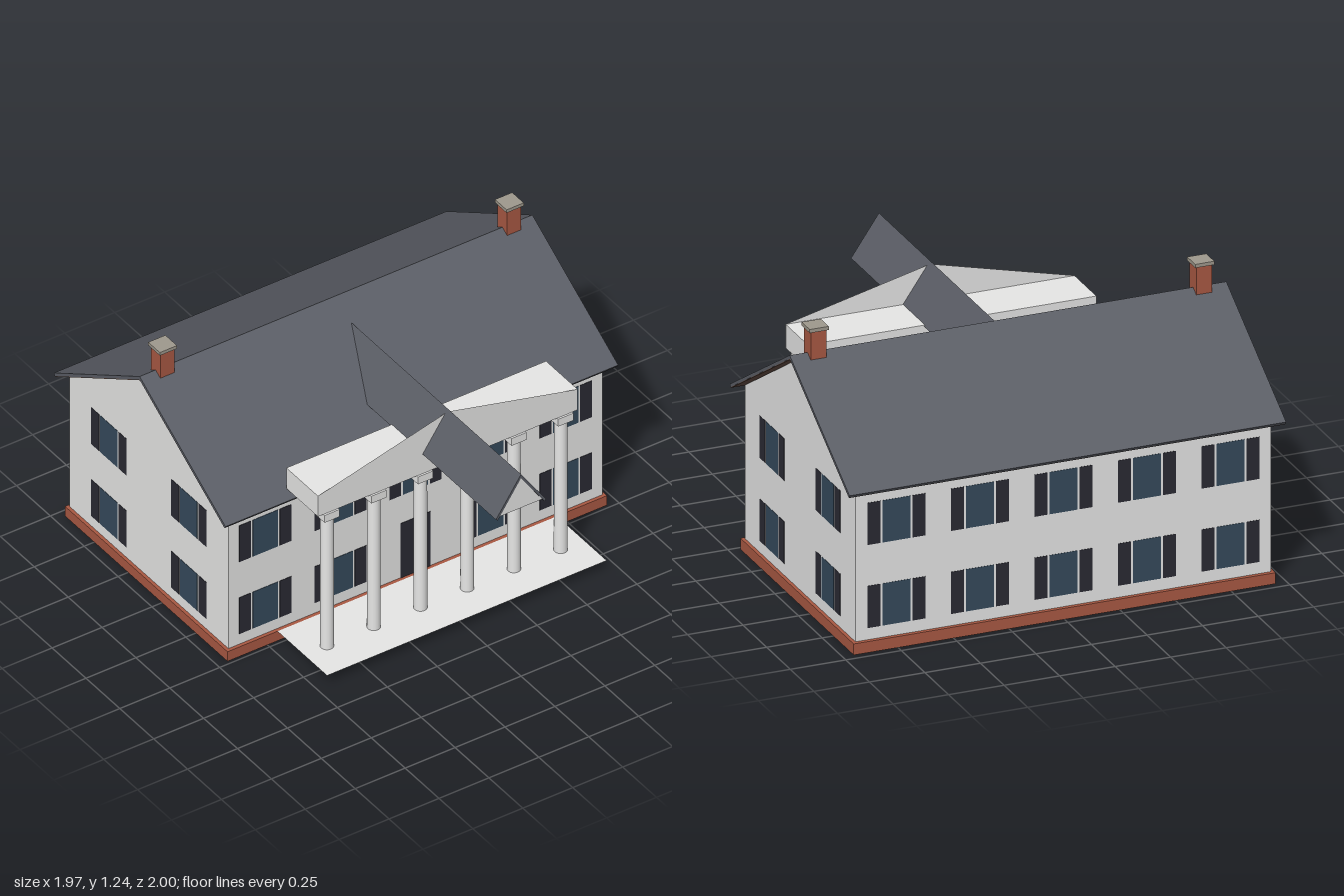
import * as THREE from 'three';

const mat = (name, color, side = THREE.FrontSide) =>
  Object.assign(new THREE.MeshStandardMaterial({ color, side }), { name });

export function createModel() {
  const white = mat('white paint', 0xe8e8e7, THREE.DoubleSide);
  const roofing = mat('slate roof', 0x5a5d65);
  const soffitBrown = mat('brown soffit', 0x6b5248);
  const brick = mat('red brick', 0xa95943, THREE.DoubleSide);
  const stone = mat('stone', 0x9f998d, THREE.DoubleSide);
  const glass = mat('window glass', 0x354a5c);
  const shutterPaint = mat('dark shutter paint', 0x2a2a33);

  const model = new THREE.Group();
  model.name = 'house';
  const CZ = -0.366; // middle of the main house in z

  const add = (name, geo, material, x = 0, y = 0, z = 0, parent = model) => {
    const m = new THREE.Mesh(geo, material);
    m.name = name;
    m.position.set(x, y, z);
    parent.add(m);
    return m;
  };
  const box = (name, material, w, h, d, x, y, z, parent) =>
    add(name, new THREE.BoxGeometry(w, h, d), material, x, y, z, parent);
  // Hollow box without its bottom face
  const openBox = (name, material, w, h, d, x, y, z) => {
    const geo = new THREE.BoxGeometry(w, h, d);
    geo.setIndex([...geo.index.array].filter((v, i) => i < 18 || i >= 24));
    geo.clearGroups();
    return add(name, geo, material, x, y, z);
  };
  const outline = points => new THREE.Shape(points.map(([x, y]) => new THREE.Vector2(x, y)));
  // Prism with an x-y outline, extruded along z about its middle
  const prism = (name, material, points, length) => {
    const geo = new THREE.ExtrudeGeometry(outline(points), { depth: length, bevelEnabled: false });
    return add(name, geo.translate(0, 0, -length / 2), material);
  };
  // Outline of a gabled end: base, eaves and peak
  const gableEnd = (w, base, eave, peak) => [[-w, base], [w, base], [w, eave], [0, peak], [-w, eave]];
  // Outline of a thin folded sheet: outer eave and peak, inner eave and peak
  const fold = (w, eave, peak, wIn, eaveIn, peakIn) =>
    [[0, peak], [-w, eave], [-wIn, eaveIn], [0, peakIn], [wIn, eaveIn], [w, eave]];

  // Foundation and front step, hollow underneath
  openBox('foundation', brick, 1.9, 0.05, 1.2, 0, 0.025, CZ);
  openBox('frontStep', stone, 0.234, 0.049, 0.057, 0, 0.0245, 0.2635);

  // Main walls with gable ends, the main roof and its underside
  const mainParts = [
    prism('walls', white, gableEnd(0.586, 0.052, 0.744, 1.099), 1.872),
    prism('mainRoof', roofing, fold(0.634, 0.738, 1.12, 0.627, 0.726, 1.104), 1.966),
    prism('roofSoffit', soffitBrown, fold(0.627, 0.726, 1.104, 0.625, 0.724, 1.1), 1.964),
  ];
  for (const m of mainParts) {
    m.rotation.y = Math.PI / 2;
    m.position.z = CZ;
  }

  // Chimneys
  for (const s of [-1, 1]) {
    box('chimney', brick, 0.07, 0.225, 0.07, s * 0.868, 1.1125, CZ);
    box('chimneyCap', stone, 0.086, 0.016, 0.086, s * 0.868, 1.233, CZ);
  }

  // Shuttered windows, facing +z before turning
  const shutteredWindow = (x, y, z, turn) => {
    const g = new THREE.Group();
    g.name = 'window';
    box('windowPane', glass, 0.126, 0.19, 0.003, 0, 0, 0, g);
    for (const s of [-1, 1]) box('shutter', shutterPaint, 0.058, 0.19, 0.003, s * 0.101, 0, 0, g);
    g.position.set(x, y, z);
    g.rotation.y = turn;
    model.add(g);
  };
  for (const y of [0.2, 0.575]) {
    for (const x of [-0.752, -0.376, 0, 0.376, 0.752]) {
      if (x !== 0 || y > 0.5) shutteredWindow(x, y, CZ + 0.586, 0);
      shutteredWindow(x, y, CZ - 0.586, Math.PI);
    }
    for (const dz of [-0.295, 0.295])
      for (const s of [-1, 1]) shutteredWindow(s * 0.936, y, CZ + dz, s * Math.PI / 2);
  }

  // Front door
  box('door', shutterPaint, 0.15, 0.284, 0.003, 0, 0.193, CZ + 0.586);

  // Portico floor, a flat sheet
  const floor = new THREE.PlaneGeometry(1.4, 0.366).rotateX(-Math.PI / 2);
  add('porticoFloor', floor, white, 0, 0.05, 0.417);

  // Columns with square capitals
  const shaft = new THREE.CylinderGeometry(0.0285, 0.0295, 0.682, 16);
  for (let i = 0; i < 6; i++) {
    const x = -0.585 + i * 0.234;
    add('column', shaft, white, x, 0.39, 0.43);
    box('capital', white, 0.076, 0.038, 0.076, x, 0.749, 0.43);
  }

  // Flat-topped beam over the columns, with an upright pediment sheet on its front
  box('porticoBeam', white, 1.3, 0.107, 0.232, 0, 0.8215, 0.342);
  add('pediment', new THREE.ShapeGeometry(outline(gableEnd(0.65, 0.768, 0.875, 1.037))), white, 0, 0, 0.459);

  // Narrow portico roof running into the main roof, with a closed front gable
  prism('porticoRoof', roofing, fold(0.126, 0.869, 1.052, 0.117, 0.861, 1.032), 1.27).position.z = 0.365;
  add('porticoGable', new THREE.ShapeGeometry(outline([[-0.108, 0.875], [0.108, 0.875], [0, 1.033]])),
    white, 0, 0, 0.997);

  return model;
}
